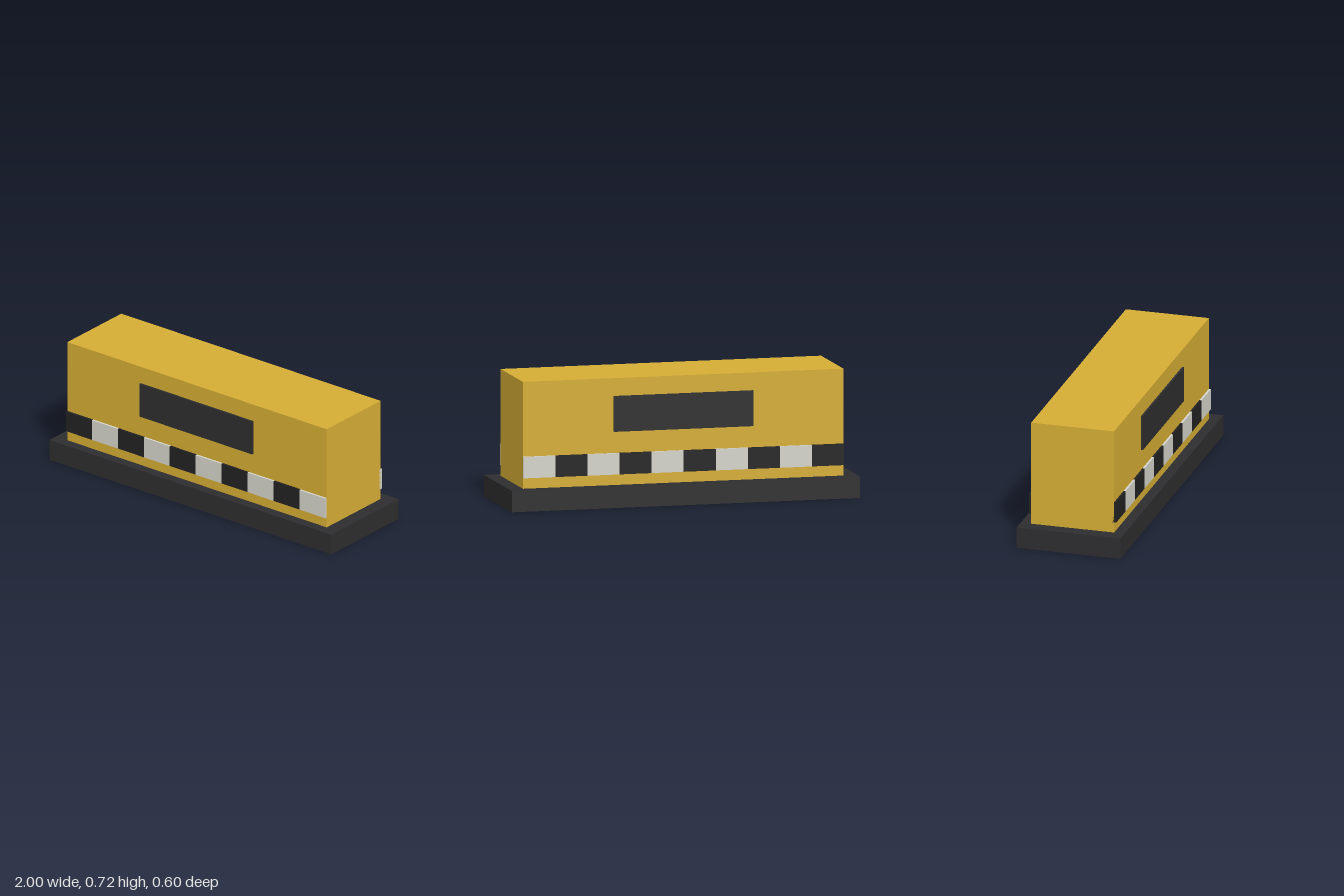
import * as THREE from 'three';

const paint = (color) => new THREE.MeshStandardMaterial({ color });

export function createModel() {
  const model = new THREE.Group();
  model.name = 'barrierBlock';
  const yellow = paint(0xd4ac34);
  const charcoal = paint(0x2d2d2f);
  const black = paint(0x222222);
  const white = paint(0xd4d4ca);

  const box = (name, material, [w, h, d], [x, y, z], parent = model) => {
    const mesh = new THREE.Mesh(new THREE.BoxGeometry(w, h, d), material);
    mesh.name = name;
    mesh.position.set(x, y, z);
    parent.add(mesh);
  };

  // Plinth and main body
  box('base', charcoal, [2, 0.12, 0.6], [0, 0.06, 0]);
  box('body', yellow, [1.84, 0.6, 0.48], [0, 0.42, 0]);

  // Panel and checkered band on the front and back faces
  const count = 10;
  const width = 1.84 / count;
  const depth = 0.024;
  for (const [label, side] of [['front', 1], ['back', -1]]) {
    const z = side * 0.24;
    box(label + 'Panel', charcoal, [0.8, 0.2, depth], [0, 0.52, z]);
    const band = new THREE.Group();
    band.name = label + 'CheckerBand';
    model.add(band);
    for (let i = 0; i < count; i++) {
      const x = -0.92 + (i + 0.5) * width;
      box('check', i % 2 ? white : black, [width, 0.12, depth], [x, 0.24, z], band);
    }
  }
  return model;
}
